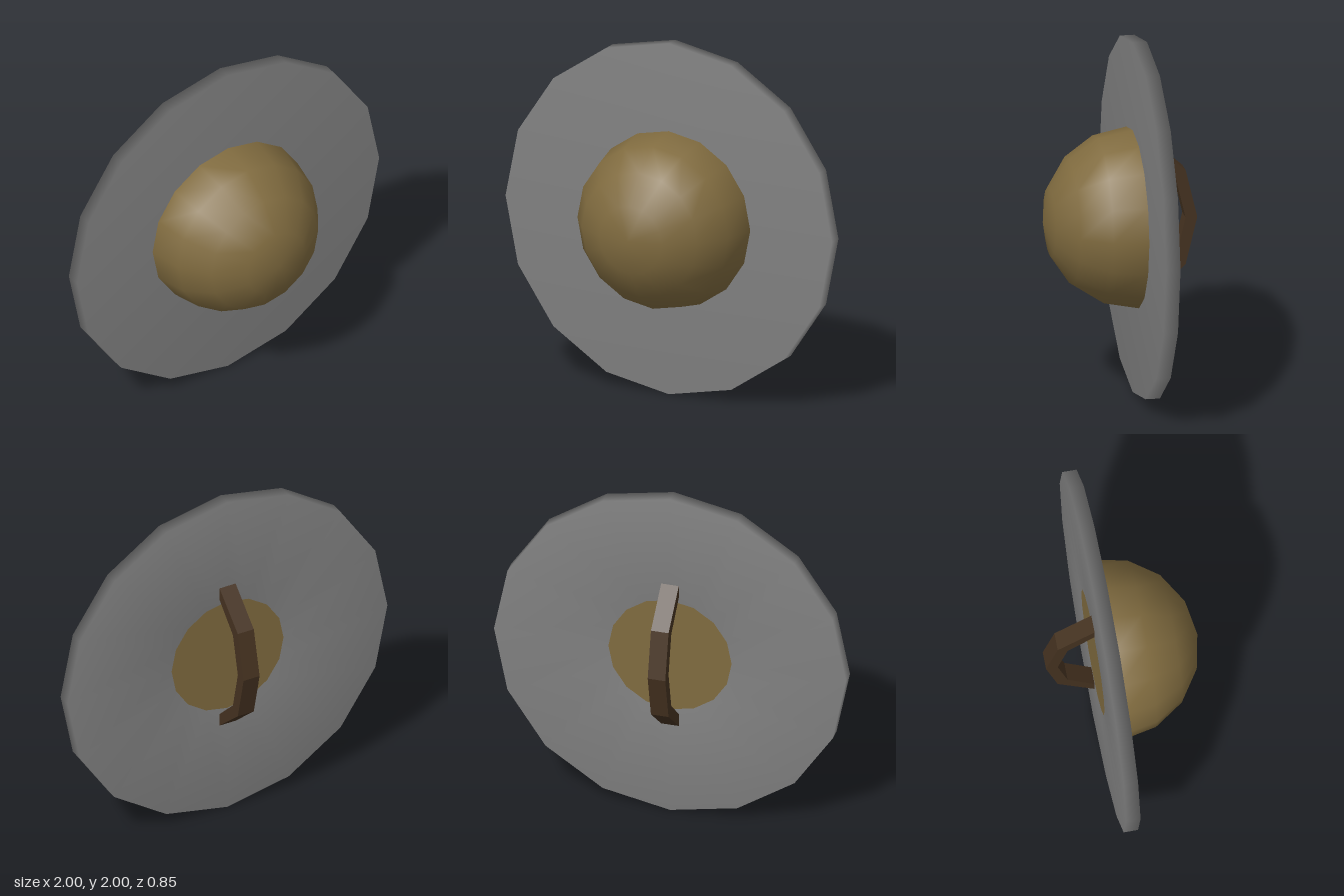
import * as THREE from 'three';

const SIDES = 16;
const FRONT = -0.075; // front face of the disc
const BACK = -0.155; // back face of the disc

export function createModel() {
  const group = new THREE.Group();
  const steel = new THREE.MeshStandardMaterial({ color: 0x808080 });
  const brass = new THREE.MeshStandardMaterial({ color: 0x806b3f });
  const leather = new THREE.MeshStandardMaterial({ color: 0x453220 });

  const add = (name, geometry, material) => {
    const mesh = new THREE.Mesh(geometry, material);
    mesh.name = name;
    mesh.position.y = 1;
    group.add(mesh);
  };

  // Round plate with a socket in the back, normals softened over the rims
  const profile = [[0.35, FRONT - 0.01], [0.35, BACK], [1, BACK], [1, FRONT], [0, FRONT]]
    .map(([r, z]) => new THREE.Vector2(r, z));
  add('shieldPlate', new THREE.LatheGeometry(profile, SIDES).rotateX(Math.PI / 2), steel);

  // Half-sphere boss on the front
  const dome = new THREE.SphereGeometry(0.5, SIDES, 4, 0, Math.PI * 2, 0, Math.PI / 2);
  add('boss', dome.rotateX(Math.PI / 2).translate(0, 0, FRONT), brass);

  // Boss backing, flush with the back of the plate
  const plug = new THREE.CylinderGeometry(0.35, 0.35, FRONT - BACK, SIDES);
  add('bossBacking', plug.rotateX(Math.PI / 2).translate(0, 0, (FRONT + BACK) / 2), brass);

  // Bent grip: upper half of outer and inner edge as [depth, height], mirrored below
  const outer = [[0.15, 0.455], [0.36, 0.27], [0.425, 0]];
  const inner = [[0.15, 0.38], [0.305, 0.23], [0.36, 0]];
  const arc = (half) => [...half, ...half.slice(0, -1).reverse().map(([d, h]) => [d, -h])];
  const outline = [...arc(outer), ...arc(inner).reverse()]
    .map(([d, h]) => new THREE.Vector2(d, h));
  const grip = new THREE.ExtrudeGeometry(new THREE.Shape(outline), { depth: 0.1, bevelEnabled: false });
  add('grip', grip.translate(0, 0, -0.05).rotateY(Math.PI / 2), leather);

  return group;
}
